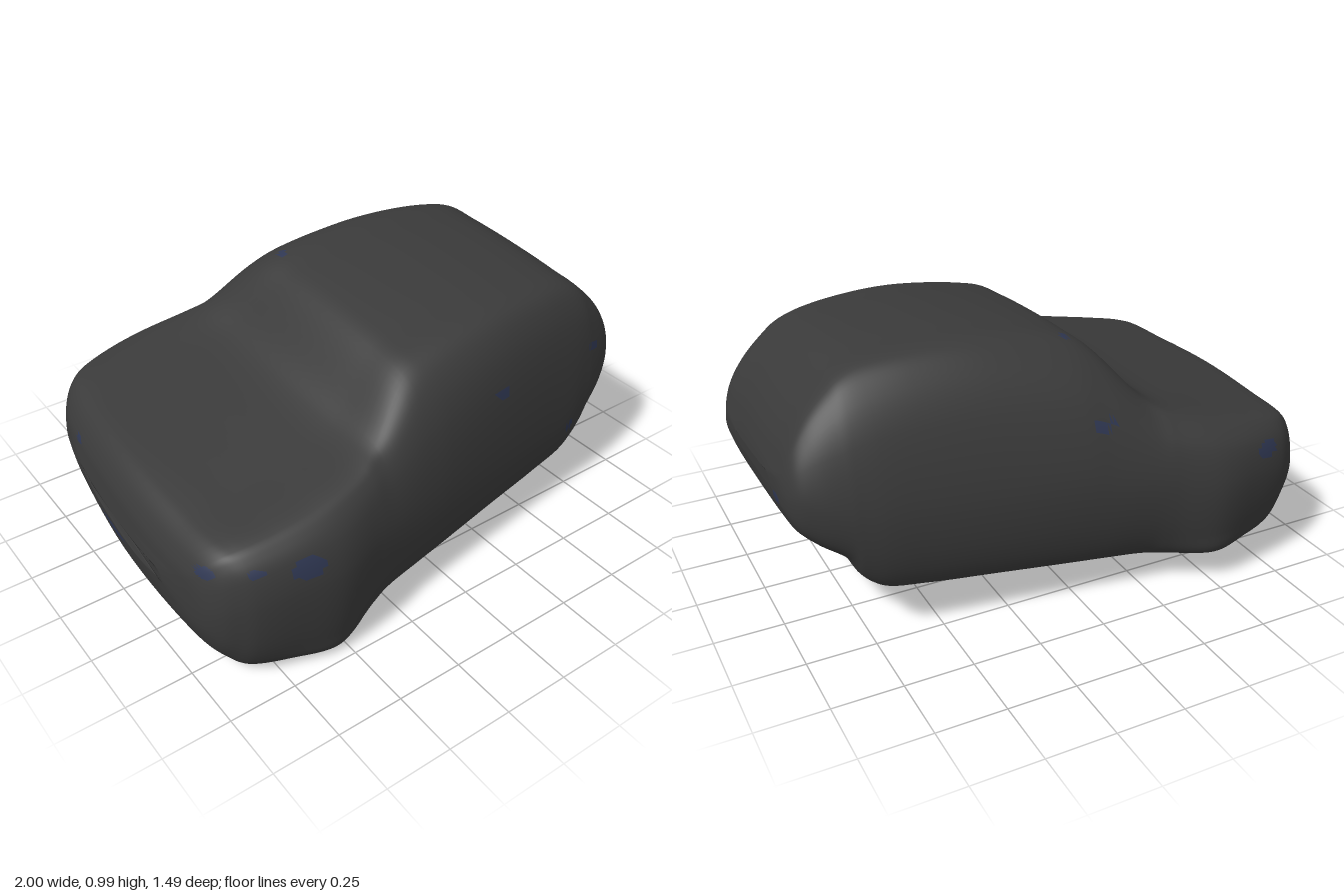
import * as THREE from 'three';

const { lerp, clamp } = THREE.MathUtils;

// Cross-sections from nose to tail: x, floor, top, belt height, belt half-width, top half-width
const SECTIONS = [
  [-1.0, 0.29, 0.35, 0.32, 0.34, 0.30],
  [-0.993, 0.24, 0.39, 0.325, 0.46, 0.39],
  [-0.98, 0.18, 0.45, 0.34, 0.57, 0.49],
  [-0.95, 0.11, 0.505, 0.36, 0.625, 0.54],
  [-0.91, 0.06, 0.54, 0.38, 0.66, 0.57],
  [-0.86, 0.02, 0.557, 0.40, 0.69, 0.59],
  [-0.72, 0.01, 0.583, 0.43, 0.725, 0.61],
  [-0.55, 0.002, 0.617, 0.43, 0.742, 0.61],
  [-0.36, 0.017, 0.665, 0.45, 0.70, 0.58],
  [-0.28, 0.027, 0.71, 0.46, 0.685, 0.53],
  [-0.11, 0.048, 0.885, 0.48, 0.66, 0.43],
  [0.00, 0.06, 0.925, 0.50, 0.645, 0.42],
  [0.30, 0.095, 0.965, 0.50, 0.60, 0.41],
  [0.55, 0.125, 0.958, 0.50, 0.565, 0.39],
  [0.70, 0.155, 0.935, 0.50, 0.545, 0.37],
  [0.77, 0.21, 0.905, 0.50, 0.53, 0.37],
  [0.81, 0.28, 0.875, 0.50, 0.52, 0.37],
  [0.90, 0.345, 0.785, 0.53, 0.485, 0.37],
  [0.96, 0.40, 0.69, 0.55, 0.445, 0.37],
  [0.99, 0.465, 0.61, 0.545, 0.39, 0.34],
  [1.0, 0.52, 0.57, 0.545, 0.24, 0.20],
];

// Blue tinted spots: centre and radii of ellipsoids cutting the skin
const SPOTS = [
  [-0.66, 0.45, 0.72, 0.06, 0.038, 0.1], // front fenders
  [-0.70, 0.50, -0.70, 0.05, 0.03, 0.08],
  [0.27, 0.67, 0.57, 0.025, 0.016, 0.1], // sides
  [0.81, 0.63, 0.48, 0.04, 0.018, 0.1],
  [0.69, 0.33, 0.54, 0.018, 0.022, 0.1],
  [-0.07, 0.69, -0.59, 0.04, 0.018, 0.1],
  [-0.04, 0.93, -0.35, 0.02, 0.1, 0.02], // roof edge
  [0.98, 0.53, -0.30, 0.1, 0.022, 0.03], // tail
  [-0.22, 0.05, 0.10, 0.24, 0.1, 0.23], // underside
  [-0.30, 0.08, -0.20, 0.12, 0.1, 0.14],
  [-0.95, 0.46, 0.55, 0.06, 0.02, 0.04], // nose
  [-0.82, 0.47, 0.66, 0.03, 0.015, 0.06],
  [-0.98, 0.27, -0.03, 0.1, 0.018, 0.1],
  [-0.95, 0.45, -0.35, 0.08, 0.015, 0.025],
];

// Closed ring of control points for one section, from the floor centre round by +z
function ring([x, floor, top, belt, w, t]) {
  const roll = lerp(0.035, 0.075, clamp((x + 0.4) / 0.4, 0, 1)); // cabin leans more than bonnet
  const lift = lerp(0.14, 0.06, clamp((x + 0.5) / 1.2, 0, 1)); // floor rises toward -z
  const tuck = Math.min(1, Math.abs(x + 0.58) / 0.3); // sills tuck in away from the front wheels
  const low = [
    [0.6 * w, floor],
    [(0.95 - 0.09 * tuck) * w, floor + 0.01],
    [(0.978 - 0.018 * tuck) * w, lerp(floor, belt, 0.22 + 0.05 * tuck)],
  ];
  const high = [
    [w, lerp(floor, belt, 0.9)],
    [lerp(w, t, 0.24), lerp(belt, top, 0.5)],
    [lerp(w, t, 0.6), lerp(belt, top, 0.81)],
    [t, lerp(belt, top, 0.955)],
    [0.6 * t, top - 0.005],
  ];
  const nose = Math.max(0, -x);
  const place = (z, y, isLow) => {
    const py = isLow ? y + lift * Math.max(0, 0.1 - z) : y - roll * z;
    const bend = nose * (0.13 * z * z - 0.05 * z);
    return new THREE.Vector3(x + bend, py, z + 0.13 * Math.max(0, y - 0.55));
  };
  return [
    place(0, floor, true),
    ...low.map(([z, y]) => place(z, y, true)),
    ...high.map(([z, y]) => place(z, y, false)),
    place(0, top, false),
    ...high.map(([z, y]) => place(-z, y, false)).reverse(),
    ...low.map(([z, y]) => place(-z, y, true)).reverse(),
  ];
}

function bodyGeometry() {
  const rings = SECTIONS.map(ring);
  const cols = rings[0].length * 6;
  const rows = (SECTIONS.length - 1) * 8;
  const around = rings.map((r) => new THREE.CatmullRomCurve3(r, true));
  const lines = [];
  for (let j = 0; j < cols; j++) {
    const along = new THREE.CatmullRomCurve3(around.map((c) => c.getPoint(j / cols)));
    lines.push(along.getPoints(rows));
  }
  const verts = [];
  for (let i = 0; i <= rows; i++) for (let j = 0; j < cols; j++) verts.push(lines[j][i]);

  // Sort each face into plain skin or blue spot
  const faces = [[], []];
  const mid = new THREE.Vector3();
  const add = (...f) => {
    mid.set(0, 0, 0);
    f.forEach((k) => mid.addScaledVector(verts[k], 1 / 3));
    const blue = SPOTS.some(([x, y, z, a, b, c]) =>
      ((mid.x - x) / a) ** 2 + ((mid.y - y) / b) ** 2 + ((mid.z - z) / c) ** 2 < 1);
    faces[blue ? 1 : 0].push(...f);
  };
  const quad = (a, b, c, d) => {
    add(a, b, c);
    add(c, b, d);
  };

  // Skin
  for (let j = 0; j < cols; j++) {
    const n = (j + 1) % cols;
    for (let i = 0; i < rows; i++) {
      const a = i * cols + j, b = i * cols + n;
      quad(a, a + cols, b, b + cols);
    }
  }
  // Nose and tail caps: strips joining the two sides of the end rings
  const last = rows * cols;
  for (let j = 0; j < cols / 2; j++) {
    const m = (cols - j) % cols, m2 = cols - j - 1;
    quad(m, j, m2, j + 1);
    quad(last + j, last + m, last + j + 1, last + m2);
  }

  const geo = new THREE.BufferGeometry().setFromPoints(verts);
  geo.setIndex([...faces[0], ...faces[1]]);
  geo.addGroup(0, faces[0].length, 0);
  geo.addGroup(faces[0].length, faces[1].length, 1);
  geo.computeVertexNormals();
  return geo;
}

export function createModel() {
  const model = new THREE.Group();
  model.name = 'car';
  const charcoal = new THREE.MeshStandardMaterial({ color: 0x3a3a3a });
  charcoal.name = 'charcoal';
  const darkBlue = new THREE.MeshStandardMaterial({ color: 0x2f3752 });
  darkBlue.name = 'dark blue';

  const body = new THREE.Mesh(bodyGeometry(), [charcoal, darkBlue]);
  body.name = 'body';
  model.add(body);
  return model;
}
